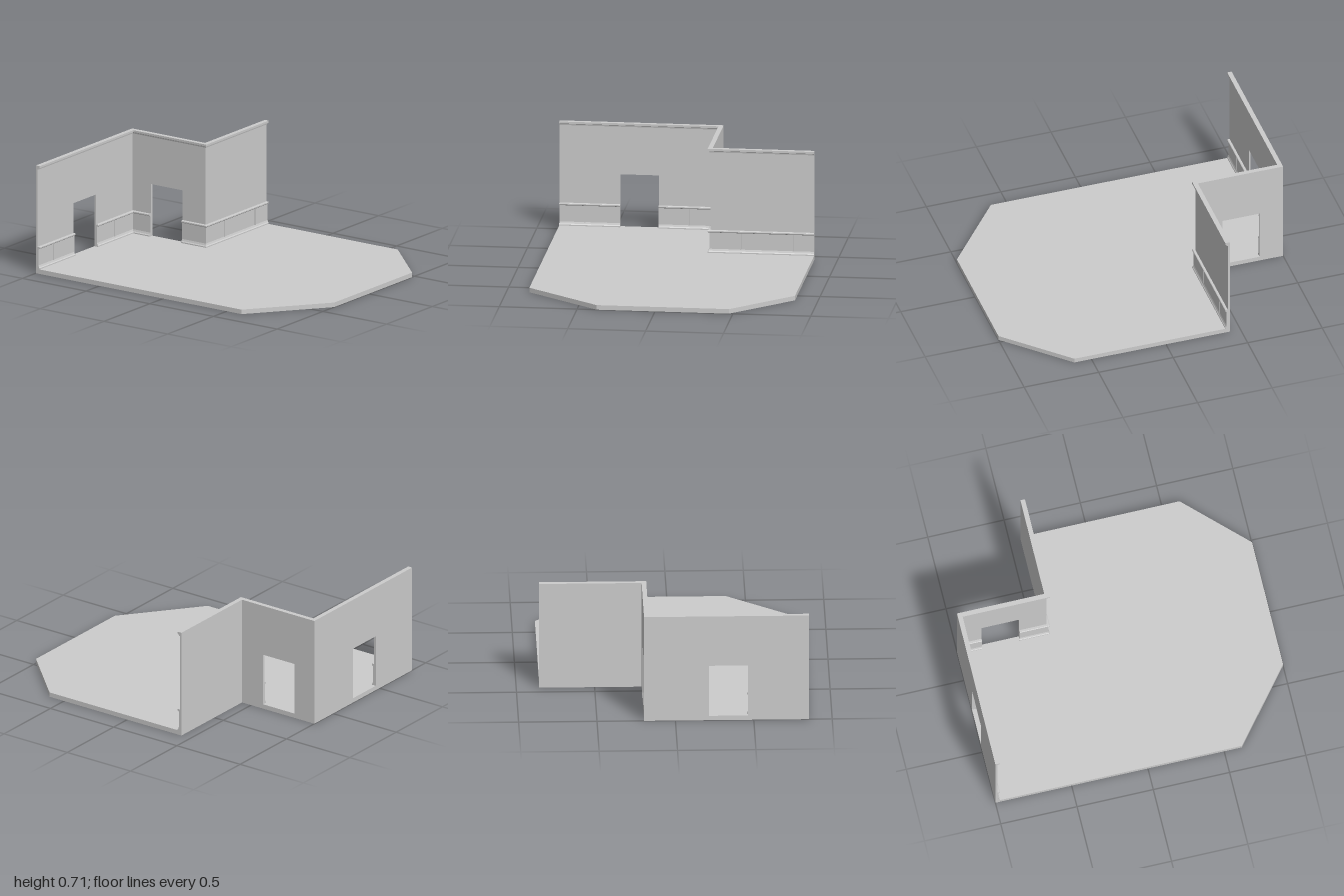
import * as THREE from 'three';

const FLOOR = 0.03, DOOR_TOP = 0.375, TOP = 0.715;

// Sweep a counter-clockwise (depth, height) profile along mitred wall stations [x, z, nx, nz].
function sweep(profile, stations, keepEdge = () => true) {
  const pos = [];
  const put = (s, p) => pos.push(s[0] + s[2] * p[0], p[1], s[1] + s[3] * p[0]);
  for (let k = 0; k < stations.length - 1; k++) {
    const s = stations[k], t = stations[k + 1];
    profile.forEach((p, i) => {
      const q = profile[(i + 1) % profile.length];
      if (!keepEdge(p, q)) return;
      put(s, p); put(t, p); put(s, q);
      put(s, q); put(t, p); put(t, q);
    });
  }
  // End caps
  const tris = THREE.ShapeUtils.triangulateShape(profile.map(p => new THREE.Vector2(...p)), []);
  const first = stations[0], last = stations[stations.length - 1];
  for (const [a, b, c] of tris) {
    for (const i of [a, b, c]) put(first, profile[i]);
    for (const i of [c, b, a]) put(last, profile[i]);
  }
  const g = new THREE.BufferGeometry();
  g.setAttribute('position', new THREE.Float32BufferAttribute(pos, 3));
  g.computeVertexNormals();
  return g;
}

export function createModel() {
  const model = new THREE.Group();
  const mat = new THREE.MeshStandardMaterial({ color: 0xcccccc, flatShading: true });
  const add = (name, geometry) => {
    const mesh = new THREE.Mesh(geometry, mat);
    mesh.name = name;
    model.add(mesh);
    return mesh;
  };

  // Floor slab with clipped corners and a notch behind the back wall
  const outline = [[-1, 0.853], [0.615, 0.853], [1, 0.375], [1, -0.475],
    [0.615, -0.853], [-0.428, -0.853], [-0.428, -0.2], [-1, -0.2]];
  const floorShape = new THREE.Shape(outline.map(([x, z]) => new THREE.Vector2(x, -z)));
  add('floor', new THREE.ExtrudeGeometry(floorShape, { depth: FLOOR, bevelEnabled: false })
    .rotateX(-Math.PI / 2));

  // Wall line: two ends, two mitred corners and the door edges
  const frontEnd = [-1, 0.853, 1, 0], innerCorner = [-1, -0.2, 1, 1];
  const outerCorner = [-0.428, -0.2, 1, 1], backEnd = [-0.428, -0.853, 1, 0];
  const sideDoor = [[-1, 0.462, 1, 0], [-1, 0.215, 1, 0]];
  const backDoor = [[-0.842, -0.2, 0, 1], [-0.595, -0.2, 0, 1]];

  // Lower walls: skirting, wainscot and chair rail, interrupted by the doorways
  const lower = [[0, FLOOR], [0.03, FLOOR], [0.03, 0.037], [0.025, 0.043], [0.021, 0.055],
    [0.021, 0.162], [0.027, 0.164], [0.03, 0.168], [0.03, 0.175], [0.027, 0.178],
    [0.013, 0.178], [0.013, DOOR_TOP], [0, DOOR_TOP]];
  const openTop = (p, q) => !(p[1] === DOOR_TOP && q[1] === DOOR_TOP);
  const runs = [
    [frontEnd, sideDoor[0]],
    [sideDoor[1], innerCorner, backDoor[0]],
    [backDoor[1], outerCorner, backEnd],
  ];
  runs.forEach((run, i) => add('lowerWall' + (i + 1), sweep(lower, run, openTop)));

  // Upper wall with stepped crown moulding, continuous above the doorways
  const upper = [[0, DOOR_TOP], [0.013, DOOR_TOP], [0.013, 0.69], [0.02, 0.69],
    [0.022, 0.698], [0.03, 0.702], [0.03, TOP], [0, TOP]];
  add('upperWall', sweep(upper, [frontEnd, innerCorner, outerCorner, backEnd]));

  // Narrow upright battens on the wainscot
  for (const [x, z] of [[-1, 0.69], [-1, 0.023], [-0.428, -0.38], [-0.428, -0.717]]) {
    add('wainscotBatten', new THREE.BoxGeometry(0.008, 0.11, 0.009))
      .position.set(x + 0.022, 0.11, z);
  }
  return model;
}
